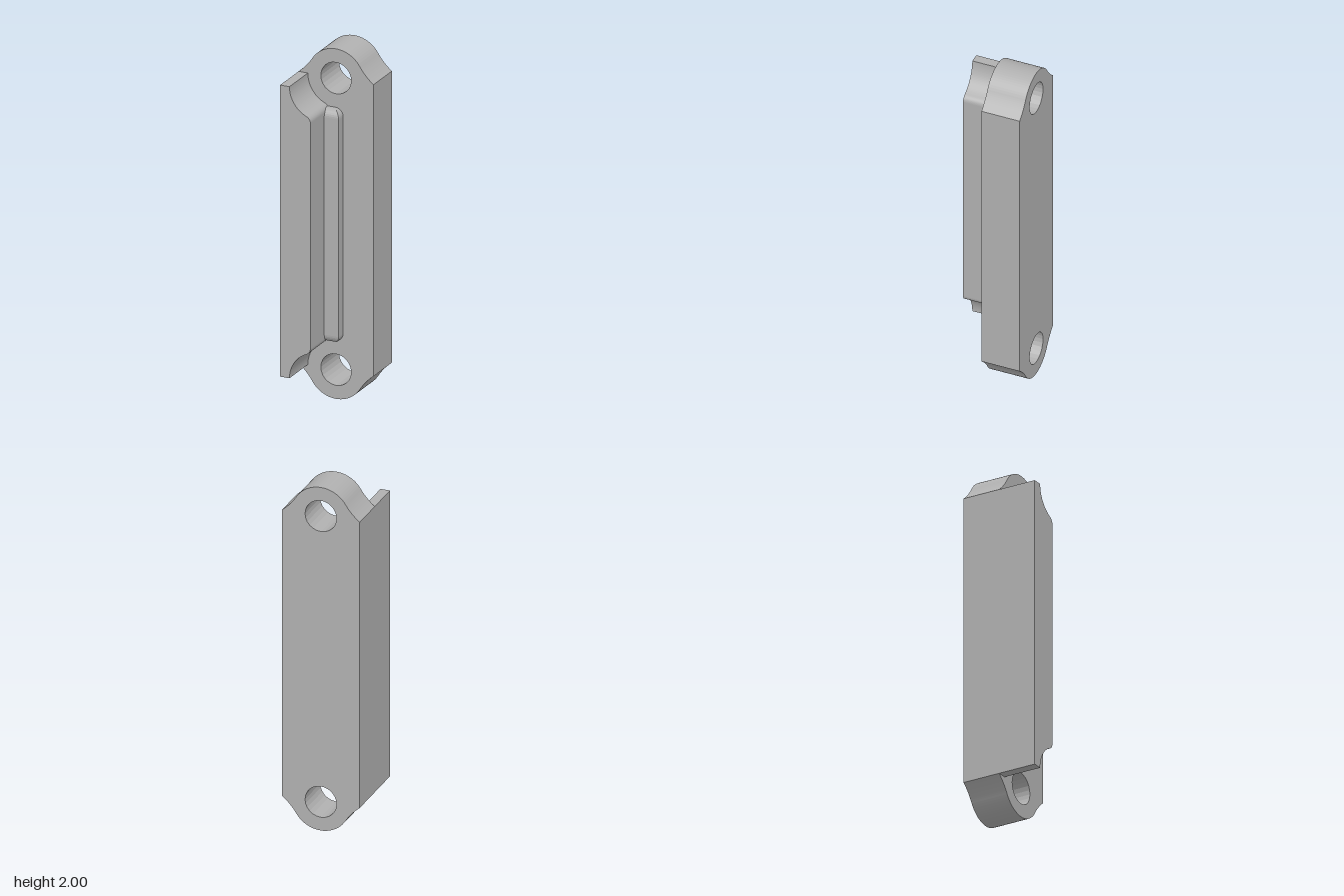
import * as THREE from 'three';

const HALF = 0.222;              // half width, and depth of plate and rail
const LOW = 0.167, HIGH = 1.833; // heights of the two bolt holes
const R = 0.167;                 // rounded end radius

function extrude(shape, z, depth) {
  const g = new THREE.ExtrudeGeometry(shape, { depth, bevelEnabled: false, curveSegments: 12 });
  g.translate(0, 0, z);
  return g;
}

// Back plate: straight sides flowing into round lugs, with two bolt holes
function plateGeometry() {
  const a = 0.57, cx = R * Math.cos(a), cy = R * Math.sin(a);
  const s = new THREE.Shape();
  s.moveTo(HALF, LOW);
  s.lineTo(HALF, HIGH);
  s.quadraticCurveTo(0.172, HIGH + 0.04, cx, HIGH + cy);
  s.absarc(0, HIGH, R, a, Math.PI - a, false);
  s.quadraticCurveTo(-0.172, HIGH + 0.04, -HALF, HIGH);
  s.lineTo(-HALF, LOW);
  s.quadraticCurveTo(-0.172, LOW - 0.04, -cx, LOW - cy);
  s.absarc(0, LOW, R, Math.PI + a, 2 * Math.PI - a, false);
  s.quadraticCurveTo(0.172, LOW - 0.04, HALF, LOW);
  for (const y of [LOW, HIGH]) {
    s.holes.push(new THREE.Path().absarc(0, y, 0.09, 0, Math.PI * 2, true));
  }
  return extrude(s, -HALF, HALF);
}

// Side rail: ends scooped out around the bolt holes, small rounded inner corners
function railGeometry() {
  const x = -0.043, b = 1.14, ex = -R * Math.cos(b), ey = R * Math.sin(b);
  const s = new THREE.Shape();
  s.moveTo(-HALF, LOW);
  s.lineTo(-R, LOW);
  s.absarc(0, LOW, R, Math.PI, Math.PI - b, true);
  s.quadraticCurveTo(x, LOW + ey + 0.012, x, LOW + ey + 0.037);
  s.lineTo(x, HIGH - ey - 0.037);
  s.quadraticCurveTo(x, HIGH - ey - 0.012, ex, HIGH - ey);
  s.absarc(0, HIGH, R, Math.PI + b, Math.PI, true);
  s.lineTo(-HALF, HIGH);
  s.closePath();
  return extrude(s, 0, HALF);
}

// Low ridge: rectangular sections that shrink along a quarter round at each end
function ridgeGeometry() {
  const steps = 7, r = 0.045, bottom = LOW + R, top = HIGH - R;
  const sections = [];
  const section = (y, t) => {
    const x = -0.003 + r * t, z = 0.01 + r * t;
    return [[-0.07, y, 0], [-0.07, y, z], [x, y, z], [x, y, 0]];
  };
  for (let i = 0; i <= steps; i++) {
    const a = i / steps * Math.PI / 2;
    sections.push(section(bottom + r * (1 - Math.cos(a)), Math.sin(a)));
  }
  for (let i = steps; i >= 0; i--) {
    const a = i / steps * Math.PI / 2;
    sections.push(section(top - r * (1 - Math.cos(a)), Math.sin(a)));
  }
  const p = [];
  const quad = (a, b, c, d) => p.push(...a, ...b, ...c, ...a, ...c, ...d);
  for (let i = 0; i < sections.length - 1; i++) {
    const lo = sections[i], hi = sections[i + 1];
    for (let j = 0; j < 4; j++) {
      const k = (j + 1) % 4;
      quad(lo[j], lo[k], hi[k], hi[j]);
    }
  }
  const first = sections[0], last = sections[sections.length - 1];
  quad(first[3], first[2], first[1], first[0]);
  quad(last[0], last[1], last[2], last[3]);
  const g = new THREE.BufferGeometry();
  g.setAttribute('position', new THREE.Float32BufferAttribute(p, 3));
  g.computeVertexNormals();
  return g;
}

export function createModel() {
  const grey = new THREE.MeshStandardMaterial({ color: 0xb0b0b0 });
  grey.name = 'grey';
  const group = new THREE.Group();
  group.name = 'mountingBracket';
  const add = (name, geometry) => {
    const mesh = new THREE.Mesh(geometry, grey);
    mesh.name = name;
    group.add(mesh);
  };
  add('backPlate', plateGeometry());
  add('sideRail', railGeometry());
  add('ridge', ridgeGeometry());
  return group;
}
